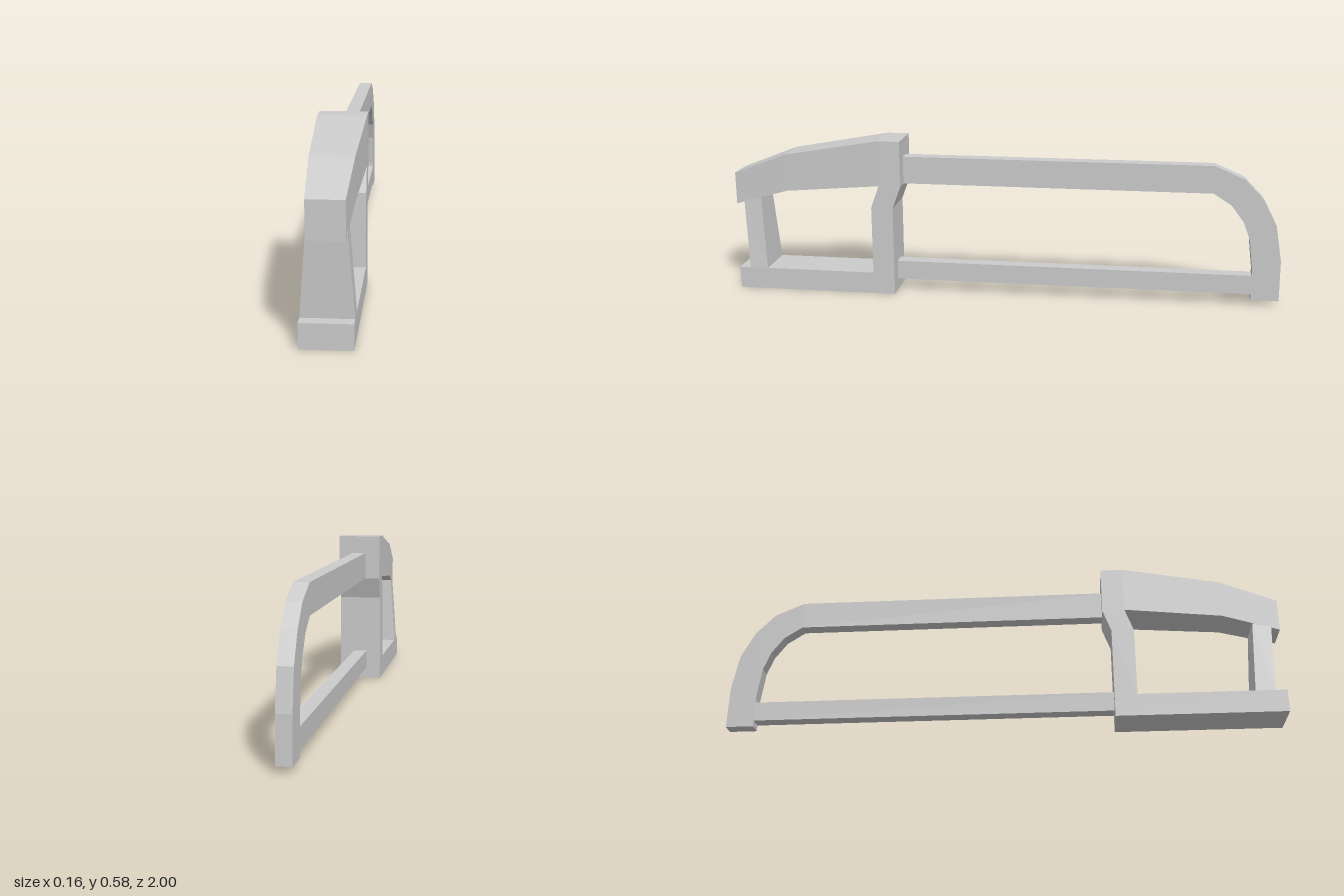
import * as THREE from 'three';

const material = new THREE.MeshStandardMaterial({ color: 0xcccccc, flatShading: true });

// Lofts a four-sided bar through sections [outerZ, outerY, innerZ, innerY, halfWidth].
function loft(name, sections) {
  const positions = [];
  const rings = sections.map(([oz, oy, iz, iy, w]) => [
    new THREE.Vector3(w, oy, oz), new THREE.Vector3(-w, oy, oz),
    new THREE.Vector3(-w, iy, iz), new THREE.Vector3(w, iy, iz),
  ]);
  const triangle = (a, b, c) => {
    if (a.equals(b) || b.equals(c) || c.equals(a)) return; // mitred corners share points
    for (const p of [a, b, c]) positions.push(p.x, p.y, p.z);
  };
  const quad = (a, b, c, d) => { triangle(a, b, c); triangle(a, c, d); };

  for (let i = 0; i < rings.length - 1; i++) {
    const a = rings[i], b = rings[i + 1];
    for (let k = 0; k < 4; k++) {
      const n = (k + 1) % 4;
      quad(a[k], b[k], b[n], a[n]);
    }
  }
  quad(...rings[0]);
  quad(...rings[rings.length - 1].slice().reverse());

  const geometry = new THREE.BufferGeometry();
  geometry.setAttribute('position', new THREE.Float32BufferAttribute(positions, 3));
  geometry.computeVertexNormals();
  const mesh = new THREE.Mesh(geometry, material);
  mesh.name = name;
  return mesh;
}

export function createModel() {
  const model = new THREE.Group();
  model.name = 'hacksaw';

  // Handle: tapered grip, rear upright and base as one C-shaped bar
  const handle = new THREE.Group();
  handle.name = 'handle';
  handle.add(loft('gripUprightAndBase', [
    [1.0, 0.44, 1.0, 0.322, 0.057],
    [0.8, 0.517, 0.8, 0.38, 0.068],
    [0.45, 0.578, 0.45, 0.412, 0.08],
    [0.37, 0.578, 0.45, 0.412, 0.08],
    [0.37, 0.41, 0.45, 0.412, 0.08],
    [0.4, 0.33, 0.48, 0.33, 0.08],
    [0.4, 0, 0.48, 0.08, 0.08],
    [0.996, 0, 0.996, 0.08, 0.08],
  ]));

  // Front post flares out towards the base
  handle.add(loft('frontPost', [
    [0.955, 0.08, 0.887, 0.08, 0.08],
    [0.97, 0.335, 0.905, 0.355, 0.06],
  ]));
  model.add(handle);

  // Bow frame: straight spine curving down to the blade holder
  const w = 0.025;
  model.add(loft('bowFrame', [
    [0.38, 0.512, 0.38, 0.412, w],
    [-0.75, 0.512, -0.75, 0.412, w],
    [-0.855, 0.467, -0.815, 0.37, w],
    [-0.925, 0.395, -0.86, 0.31, w],
    [-0.975, 0.3, -0.885, 0.245, w],
    [-0.998, 0.17, -0.9, 0.13, w],
    [-1.0, 0.02, -0.9, 0.02, w],
  ]));

  // Blade bar
  model.add(loft('blade', [
    [0.41, 0.112, 0.41, 0.042, w],
    [-0.9, 0.112, -0.9, 0.042, w],
  ]));

  return model;
}
